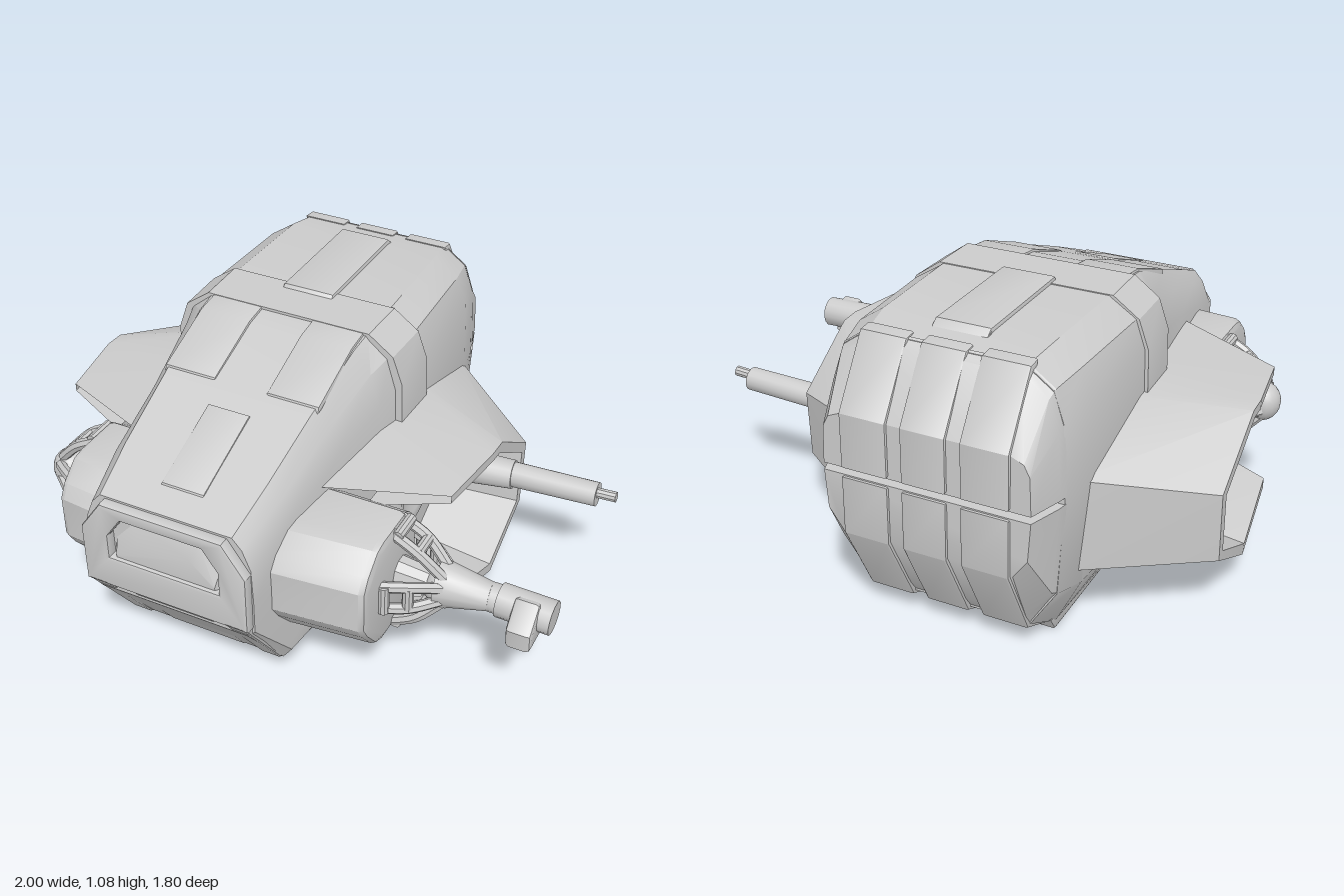
import * as THREE from 'three';
import { toCreasedNormals } from 'three/addons/utils/BufferGeometryUtils.js';

const material = new THREE.MeshStandardMaterial({ color: 0xcccccc, side: THREE.DoubleSide });
const V = (x, y, z) => new THREE.Vector3(x, y, z);

export function createModel() {
  const model = new THREE.Group();
  const body = new THREE.Group(); // everything is symmetric about x = -0.2
  body.name = 'body';
  body.position.x = -0.2;
  model.add(body);

  const add = (name, geometry, parent = body, crease = 0.5) => {
    const mesh = new THREE.Mesh(toCreasedNormals(geometry, crease), material);
    mesh.name = name;
    parent.add(mesh);
    return mesh;
  };

  const fromTriangles = (positions, index) => {
    const g = new THREE.BufferGeometry();
    g.setAttribute('position', new THREE.Float32BufferAttribute(positions, 3));
    g.setIndex(index);
    return g;
  };

  // Skin mirrored half sections [z, x1, y1, x2, y2 ...], listed front to back
  const loft = (sections) => {
    const positions = [], index = [];
    const rings = sections.map(([z, ...v]) => {
      const half = [];
      for (let i = 0; i < v.length; i += 2) half.push([v[i], v[i + 1], z]);
      return [...half, ...half.map(([x, y]) => [-x, y, z]).reverse()];
    });
    const n = rings[0].length;
    rings.forEach((r) => r.forEach((p) => positions.push(...p)));
    for (let i = 0; i < rings.length - 1; i++)
      for (let j = 0; j < n; j++) {
        const a = i * n + j, b = i * n + (j + 1) % n;
        index.push(a, b, a + n, b, b + n, a + n);
      }
    const last = (rings.length - 1) * n;
    for (let j = 1; j < n - 1; j++) index.push(0, j + 1, j, last, last + j, last + j + 1);
    return fromTriangles(positions, index);
  };

  // Extrude a (z, y) outline between two x positions
  const plate = (outline, x0, x1, bevel = 0.008) => {
    const shape = new THREE.Shape(outline.map(([z, y]) => new THREE.Vector2(-z, y)));
    const g = new THREE.ExtrudeGeometry(shape, {
      depth: x1 - x0 - 2 * bevel, bevelSize: bevel,
      bevelThickness: bevel, bevelOffset: -bevel, bevelSegments: 2,
    });
    return g.translate(0, 0, x0 + bevel).rotateY(Math.PI / 2);
  };

  const rod = (a, b, r0, r1 = r0, sides = 10) => {
    const dir = b.clone().sub(a);
    const g = new THREE.CylinderGeometry(r1, r0, dir.length(), sides);
    g.applyQuaternion(new THREE.Quaternion().setFromUnitVectors(V(0, 1, 0), dir.clone().normalize()));
    const mid = a.clone().add(b).multiplyScalar(0.5);
    return g.translate(mid.x, mid.y, mid.z);
  };

  // Main hull
  add('hull', loft([
    [0.86, 0.25, 0.755, 0.285, 0.715, 0.315, 0.64, 0.32, 0.5, 0.32, 0.38, 0.29, 0.35],
    [0.66, 0.27, 0.835, 0.315, 0.785, 0.345, 0.7, 0.35, 0.5, 0.345, 0.14, 0.31, 0.09],
    [0.38, 0.285, 0.94, 0.335, 0.87, 0.37, 0.77, 0.385, 0.5, 0.37, 0.14, 0.34, 0.08],
    [0.1, 0.305, 1.04, 0.37, 0.96, 0.405, 0.83, 0.42, 0.5, 0.4, 0.14, 0.35, 0.065],
    [0, 0.31, 1.055, 0.395, 0.985, 0.43, 0.87, 0.44, 0.5, 0.41, 0.16, 0.34, 0.055],
    [-0.2, 0.31, 1.06, 0.41, 0.995, 0.447, 0.89, 0.455, 0.6, 0.43, 0.2, 0.34, 0.03],
    [-0.6, 0.3, 1.06, 0.395, 0.995, 0.435, 0.89, 0.445, 0.6, 0.42, 0.22, 0.33, 0.035],
    [-0.74, 0.28, 1.04, 0.37, 0.975, 0.405, 0.87, 0.415, 0.6, 0.395, 0.25, 0.3, 0.1],
  ]));

  // Tail split by a horizontal groove
  add('upperTail', loft([
    [-0.73, 0.28, 1.045, 0.373, 0.978, 0.407, 0.87, 0.417, 0.615],
    [-0.765, 0.28, 1.02, 0.365, 0.955, 0.4, 0.85, 0.41, 0.615],
    [-0.89, 0.3, 0.81, 0.345, 0.79, 0.365, 0.75, 0.37, 0.615],
  ]));
  add('lowerTail', loft([
    [-0.73, 0.417, 0.59, 0.395, 0.25, 0.3, 0.095],
    [-0.77, 0.41, 0.59, 0.39, 0.27, 0.3, 0.15],
    [-0.89, 0.37, 0.59, 0.36, 0.45, 0.31, 0.38],
  ]));
  add('tailCore', new THREE.BoxGeometry(0.7, 0.12, 0.12).translate(0, 0.6, -0.79));

  // Slightly raised tail panels with vertical channels between them
  for (const [x0, x1] of [[-0.3, -0.13], [-0.08, 0.08], [0.13, 0.3]]) {
    add('upperTailPanel', plate([[-0.7, 1.05], [-0.75, 1.046], [-0.9, 0.815], [-0.9, 0.62], [-0.86, 0.62], [-0.72, 0.98]], x0, x1));
    add('lowerTailPanel', plate([[-0.86, 0.585], [-0.9, 0.585], [-0.9, 0.375], [-0.75, 0.09], [-0.62, 0.025], [-0.6, 0.1], [-0.72, 0.17]], x0, x1));
    // Keel plates
    add('keelPlate', plate([[-0.14, 0.06], [-0.17, 0], [-0.6, 0], [-0.64, 0.06]], x0 * 1.1, x1 * 1.1));
    add('frontKeelPlate', plate([[0.62, 0.1], [0.58, 0.07], [0.05, 0.053], [0.0, 0.03], [-0.12, 0.03], [-0.13, 0.1]], x0, x1));
  }

  // Collar around the hull
  const collar = [0.325, 1.063, 0.42, 0.995, 0.458, 0.89, 0.466, 0.6, 0.44, 0.18, 0.35, 0.03];
  add('collar', loft([[0.015, ...collar.map((v, i) => (i % 2 ? v : v * 0.985))], [-0.185, ...collar]]));
  add('spinePanel', plate([[-0.13, 1.05], [-0.15, 1.075], [-0.62, 1.075], [-0.65, 1.05]], -0.1, 0.1));
  for (const s of [-1, 1])
    add('shoulderPad', plate([[0.36, 0.93], [0.35, 0.957], [0.1, 1.05], [0, 1.063], [0, 1]], s * 0.2 - 0.1, s * 0.2 + 0.1));
  add('noseHatch', plate([[0.77, 0.78], [0.76, 0.8], [0.45, 0.92], [0.43, 0.9]], -0.07, 0.09, 0.003));

  // Front frame, windscreen and chin
  const octagon = (path, w, y0, y1, cut) => {
    path.moveTo(-w, y0);
    path.lineTo(w, y0);
    path.lineTo(w, y1 - cut);
    path.lineTo(w - cut * 0.7, y1);
    path.lineTo(-w + cut * 0.7, y1);
    path.lineTo(-w, y1 - cut);
    path.closePath();
    return path;
  };
  const frame = octagon(new THREE.Shape(), 0.315, 0.4, 0.748, 0.12);
  frame.holes.push(octagon(new THREE.Path(), 0.21, 0.53, 0.7, 0.08));
  add('noseFrame', new THREE.ExtrudeGeometry(frame, {
    depth: 0.026, bevelSize: 0.012, bevelThickness: 0.012, bevelOffset: -0.012, bevelSegments: 2,
  }).translate(0, 0, 0.862));
  add('windscreen', loft([
    [0.885, 0.1, 0.62, 0.19, 0.54, 0.19, 0.53],
    [0.858, 0.12, 0.69, 0.2, 0.6, 0.21, 0.53],
  ]));
  const chin = (t) => [[0.86, 0.42], [0.888 + t, 0.41], [0.66 + t, 0.095], [0.6, 0.1], [0.62, 0.2]];
  for (const s of [-1, 1]) add('chinRail', plate(chin(0.012), s * 0.265 - 0.045, s * 0.265 + 0.045, 0.012));
  add('chinPanel', plate(chin(0.008), -0.15, 0.17, 0.012));
  add('chinSlope', plate(chin(-0.012), -0.25, 0.25));

  // Hollow side wings: root, outer lip, inner lip and recessed wall, as [x, z, y] loops
  const wingRings = [
    [[0.36, 0.46, 0.72], [0.36, 0.05, 0.745], [0.38, -0.25, 0.745], [0.4, -0.64, 0.62], [0.4, -0.64, 0.28], [0.38, -0.2, 0.115], [0.36, 0.46, 0.13]],
    [[0.76, 0.28, 0.695], [0.8, 0, 0.705], [0.8, -0.08, 0.7], [0.8, -0.355, 0.52], [0.8, -0.34, 0.26], [0.8, -0.06, 0.12], [0.76, 0.28, 0.2]],
    [[0.76, 0.28, 0.665], [0.8, 0, 0.67], [0.8, -0.06, 0.665], [0.8, -0.315, 0.5], [0.8, -0.305, 0.28], [0.8, -0.05, 0.16], [0.76, 0.28, 0.24]],
    [[0.5, 0.4, 0.65], [0.5, 0, 0.65], [0.5, -0.05, 0.64], [0.5, -0.25, 0.5], [0.5, -0.25, 0.3], [0.5, -0.05, 0.2], [0.5, 0.4, 0.25]],
  ];
  for (const s of [-1, 1]) {
    const side = new THREE.Group();
    side.name = s > 0 ? 'leftWing' : 'rightWing';
    body.add(side);
    const positions = [], index = [], n = 7;
    wingRings.flat().forEach(([x, z, y]) => positions.push(s * x, y, z));
    const tri = (a, b, c) => index.push(...(s > 0 ? [a, b, c] : [a, c, b]));
    for (let i = 0; i < 3; i++)
      for (let j = 0; j < n - 1; j++) {
        const a = i * n + j;
        tri(a, a + n, a + 1);
        tri(a + 1, a + n, a + n + 1);
      }
    for (let j = 1; j < n - 1; j++) tri(3 * n, 3 * n + j + 1, 3 * n + j);
    add('wingShell', fromTriangles(positions, index), side);

    // Soft round dish on the recessed wall
    const dish = new THREE.LatheGeometry([[0, 0.005], [0.07, 0.008], [0.1, 0.02], [0.13, 0.025], [0.17, 0.002]].map((p) => new THREE.Vector2(...p)), 28);
    add('dish', dish.rotateZ(-s * Math.PI / 2).translate(s * 0.5, 0.47, 0.03), side, 1);

    // Front pod, its nose swept back towards the outer end
    const end = s > 0 ? 0.66 : 0.52;
    const outline = [[0.77, 0.41], [0.77, 0.57], [0.74, 0.62], [0.67, 0.68], [0.62, 0.69], [0.42, 0.69], [0.33, 0.62], [0.31, 0.32], [0.38, 0.255], [0.62, 0.255], [0.67, 0.275], [0.74, 0.36]];
    const pod = plate(outline, s > 0 ? 0.25 : -end, s > 0 ? end : -0.25, 0.025);
    const p = pod.attributes.position;
    for (let i = 0; i < p.count; i++)
      if (p.getZ(i) > 0.5) p.setZ(i, p.getZ(i) - 0.1 * (Math.abs(p.getX(i)) - 0.3));
    add('pod', pod, side);

    // Cage of struts converging on the gun mount
    const cy = 0.47, cz = 0.46, tip = end + 0.17;
    for (let k = 0; k < 4; k++) {
      const a = k * Math.PI / 2, c = Math.cos(a), d = Math.sin(a), spread = k % 2 ? 0.16 : 0.195;
      const at = (x, r, t) => V(s * x, cy + c * r - d * t, cz + d * r + c * t);
      for (const t of [-0.045, 0.045]) {
        const curve = new THREE.CatmullRomCurve3([at(end - 0.02, spread, t), at(end + 0.08, spread * 0.72, t), at(tip, 0.05, t * 0.6)]);
        add('cageStrut', new THREE.TubeGeometry(curve, 8, 0.02, 7), side);
      }
      add('cageRung', rod(at(end + 0.08, spread * 0.72, -0.045), at(end + 0.08, spread * 0.72, 0.045), 0.02), side);
      add('cageFoot', rod(at(end + 0.01, spread - 0.005, -0.055), at(end + 0.01, spread - 0.005, 0.055), 0.02), side);
    }
    add('gunMount', new THREE.SphereGeometry(0.075, 18, 12).scale(0.9, 1, 0.9).translate(s * (tip - 0.01), 0.46, cz), side);
    add('gunCore', rod(V(s * (end - 0.02), cy, cz), V(s * tip, 0.46, cz), 0.06, 0.045), side);
  }

  // Front gun, left side
  const gun = new THREE.Group();
  gun.name = 'frontGun';
  model.add(gun);
  add('gunNeck', rod(V(0.6, 0.47, 0.455), V(0.78, 0.465, 0.44), 0.085, 0.05, 14), gun);
  add('gunBarrel', rod(V(0.74, 0.465, 0.44), V(0.84, 0.46, 0.435), 0.05, 0.052, 14), gun);
  add('muzzle', rod(V(0.81, 0.46, 0.435), V(1, 0.455, 0.435), 0.06, 0.06, 14), gun);
  add('muzzleBracket', plate([[0.4, 0.39], [0.4, 0.5], [0.47, 0.52], [0.545, 0.44], [0.54, 0.37], [0.44, 0.37]], 0.87, 0.96, 0.015), gun);

  // Rear gun, left side
  const rearGun = new THREE.Group();
  rearGun.name = 'rearGun';
  model.add(rearGun);
  add('rearGunBase', rod(V(0.28, 0.43, -0.22), V(0.6, 0.445, -0.245), 0.07, 0.055, 16), rearGun);
  add('rearGunBarrel', rod(V(0.58, 0.445, -0.245), V(0.92, 0.46, -0.25), 0.048, 0.045, 16), rearGun);
  add('rearGunTip', rod(V(0.9, 0.47, -0.245), V(0.99, 0.475, -0.245), 0.02), rearGun);

  return model;
}
